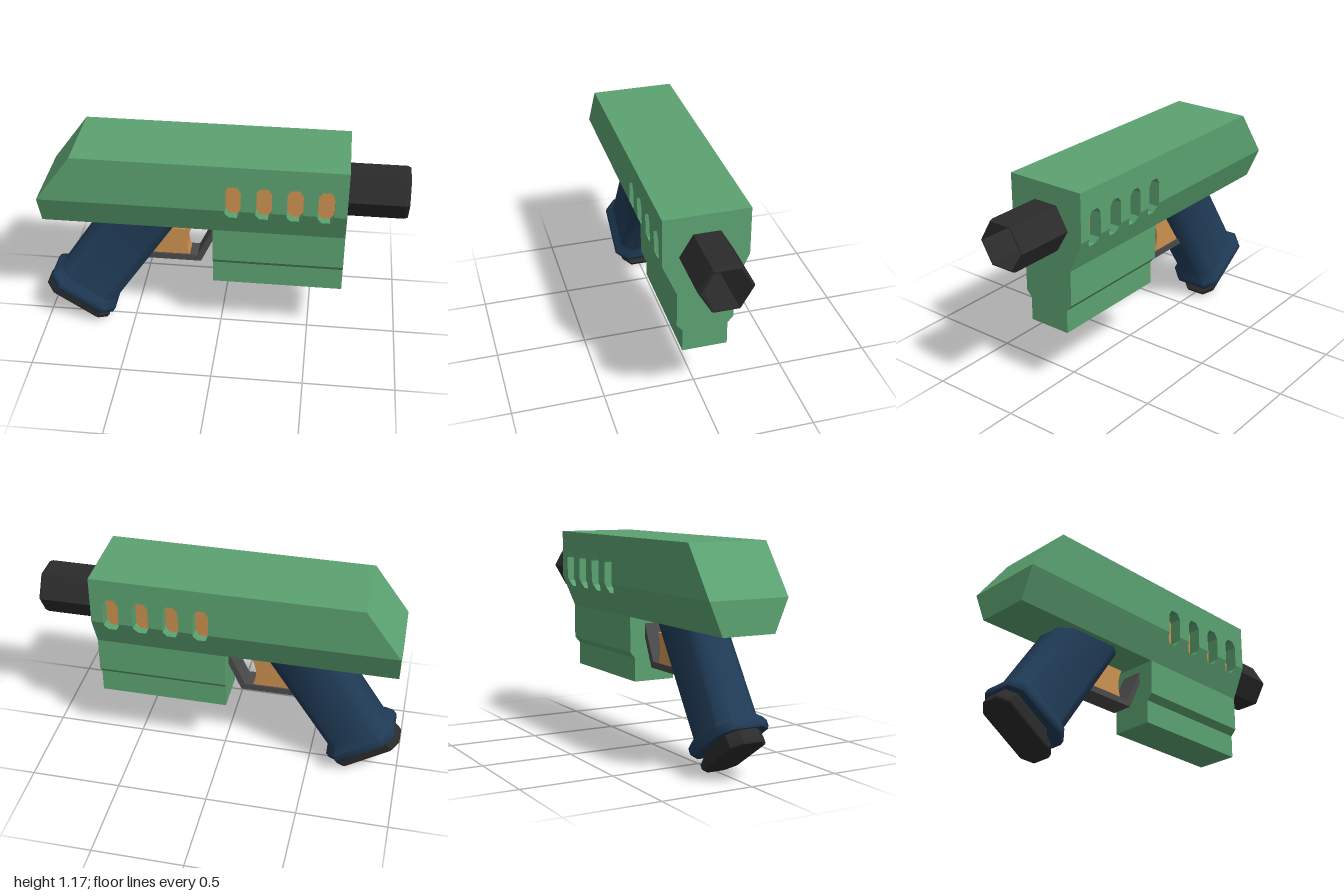
import * as THREE from 'three';
import { toCreasedNormals } from 'three/addons/utils/BufferGeometryUtils.js';

const mat = (color, flatShading = true) => new THREE.MeshStandardMaterial({ color, flatShading });
const green = mat(0x5ba271), black = mat(0x2b2b2b), grey = mat(0x4a4a4a);
const orange = mat(0xcc9150), navy = mat(0x1f3a55, false);

const shapeOf = (pts) => new THREE.Shape(pts.map(([x, y]) => new THREE.Vector2(x, y)));

// Side profile extruded symmetrically about z = 0
function slab(shape, halfWidth) {
  return new THREE.ExtrudeGeometry(shape, { depth: 2 * halfWidth, bevelEnabled: false, curveSegments: 8 })
    .translate(0, 0, -halfWidth);
}

// Loft of chamfered rectangles, each [y, xMin, xMax, halfDepth, chamfer], bottom to top
function loft(sections) {
  const pos = [], index = [];
  for (const [y, a, b, h, c] of sections) {
    const ring = [[b, h - c], [b, c - h], [b - c, -h], [a + c, -h], [a, c - h], [a, h - c], [a + c, h], [b - c, h]];
    for (const [x, z] of ring) pos.push(x, y, z);
  }
  const last = (sections.length - 1) * 8;
  for (let s = 0; s < last; s += 8) {
    for (let i = 0; i < 8; i++) {
      const j = (i + 1) % 8;
      index.push(s + i, s + j, s + 8 + j, s + i, s + 8 + j, s + 8 + i);
    }
  }
  for (let i = 1; i < 7; i++) {
    index.push(0, i + 1, i);
    index.push(last, last + i, last + i + 1);
  }
  const geo = new THREE.BufferGeometry();
  geo.setAttribute('position', new THREE.Float32BufferAttribute(pos, 3));
  geo.setIndex(index);
  geo.computeVertexNormals();
  return geo;
}

export function createModel() {
  const model = new THREE.Group();
  model.name = 'toyBlaster';
  const add = (name, geo, material, parent = model) => {
    const mesh = new THREE.Mesh(geo, material);
    mesh.name = name;
    parent.add(mesh);
    return mesh;
  };

  // Upper body: two halves meeting at the bend line, with slot notches in both
  const bend = 0.915, bottom = 0.74, top = 1.18, rear = -0.96, front = 0.68, half = 0.225;
  const slots = [0.085, 0.247, 0.409, 0.571];
  const notch = (x, yEnd, yCorner) => [
    [x - 0.043, bend], [x - 0.043, yCorner], [x - 0.022, yEnd],
    [x + 0.022, yEnd], [x + 0.043, yCorner], [x + 0.043, bend],
  ];
  const upper = shapeOf([
    [rear, bend], ...slots.flatMap((x) => notch(x, 1.062, 1.03)),
    [front, bend], [front, top], [-0.765, top],
  ]);
  add('upperBody', slab(upper, half), green);

  const lower = shapeOf([
    [rear, bottom], [front, bottom], [front, bend],
    ...[...slots].reverse().flatMap((x) => notch(x, 0.862, 0.893).reverse()),
    [rear, bend],
  ]);
  const taperGeo = slab(lower, half);
  const p = taperGeo.attributes.position;
  for (let i = 0; i < p.count; i++) {
    const t = (bend - p.getY(i)) / (bend - bottom);
    p.setZ(i, p.getZ(i) * (1 - t / 3));
  }
  taperGeo.computeVertexNormals();
  add('taperedBody', taperGeo, green);

  // Core seen through the slots
  add('slotCore', new THREE.BoxGeometry(0.64, 0.23, 0.31).translate(0.33, 0.962, 0), orange);

  // Stepped block under the barrel
  const block = shapeOf([
    [-0.12, 0.38], [0.12, 0.38], [0.12, 0.51], [0.15, 0.545],
    [0.15, 0.742], [-0.15, 0.742], [-0.15, 0.545], [-0.12, 0.51],
  ]);
  add('frontBlock', new THREE.ExtrudeGeometry(block, { depth: 0.71, bevelEnabled: false })
    .rotateY(Math.PI / 2).translate(-0.03, 0, 0), green);

  // Hollow six-sided barrel
  const barrel = [[0.14, 0.6], [0.14, 0.98], [0.133, 1], [0.127, 1], [0.122, 0.72], [0, 0.72]]
    .map(([r, x]) => new THREE.Vector2(r, x));
  add('barrel', new THREE.LatheGeometry(barrel, 6).rotateZ(-Math.PI / 2).translate(0, 0.956, 0), black);

  // Trigger with a concave front
  const trigger = shapeOf([[-0.45, 0.49], [-0.165, 0.49]]);
  trigger.quadraticCurveTo(-0.205, 0.585, -0.16, 0.665);
  trigger.lineTo(-0.45, 0.665);
  add('trigger', slab(trigger, 0.05), orange);

  // Trigger guard
  add('triggerGuard', slab(shapeOf([
    [-0.5, 0.465], [-0.105, 0.465], [-0.025, 0.64], [-0.025, 0.71], [-0.125, 0.5], [-0.5, 0.5],
  ]), 0.06), grey);

  // Slanted grip with a flared foot and the plate below it
  const handle = new THREE.Group();
  handle.name = 'handle';
  handle.position.set(-0.8, 0.185, 0);
  handle.rotation.z = -0.585;
  model.add(handle);
  add('grip', toCreasedNormals(loft([
    [0, -0.2, 0.2, 0.145, 0.06],
    [0.015, -0.206, 0.206, 0.152, 0.06],
    [0.045, -0.206, 0.206, 0.152, 0.06],
    [0.085, -0.177, 0.177, 0.12, 0.055],
    [0.81, -0.177, 0.177, 0.12, 0.055],
  ]), 0.9), navy, handle);
  add('basePlate', loft([
    [-0.077, -0.19, 0.2, 0.098, 0.05],
    [-0.07, -0.195, 0.208, 0.103, 0.05],
    [-0.045, -0.195, 0.21, 0.103, 0.05],
    [-0.02, -0.19, 0.15, 0.103, 0.05],
    [0.02, -0.18, 0.14, 0.1, 0.05],
  ]), black, handle);

  return model;
}
